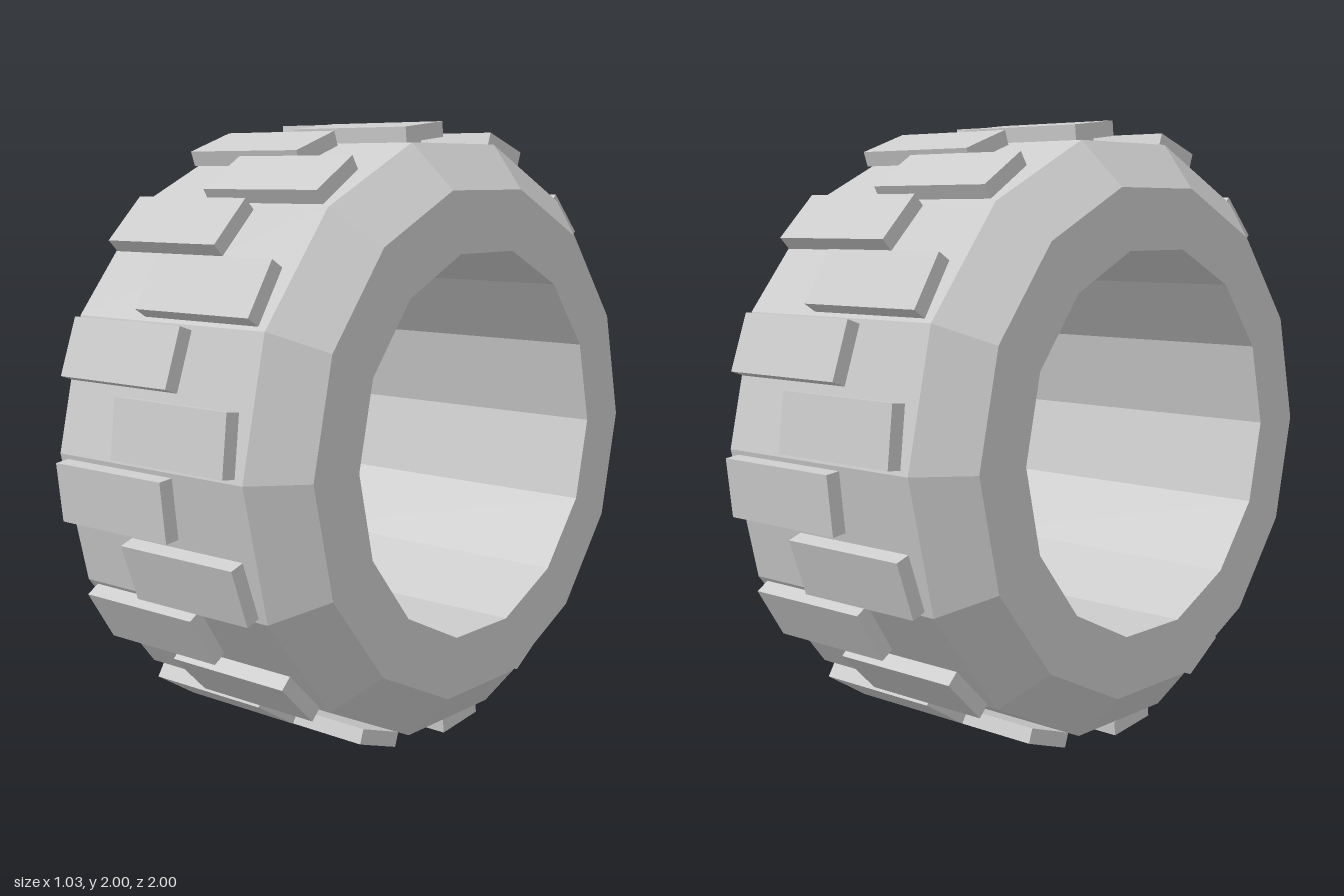
import * as THREE from 'three';

const SIDES = 14;
const BLOCKS = 28;

export function createModel() {
  const model = new THREE.Group();
  model.name = 'tire';
  const material = new THREE.MeshStandardMaterial({ color: 0xcccccc, flatShading: true });

  // Tire body: closed section (radius, offset along the axle) turned about the axle
  const section = [
    [0.615, -0.515], [0.81, -0.515], [0.955, -0.385],
    [0.955, 0.385], [0.81, 0.515], [0.615, 0.515], [0.615, -0.515],
  ].map(([r, x]) => new THREE.Vector2(r, x));
  const body = new THREE.Mesh(new THREE.LatheGeometry(section, SIDES), material);
  body.name = 'tireBody';
  body.rotation.z = -Math.PI / 2;
  body.position.y = 1;
  model.add(body);

  // Tread blocks, staggered left and right around the rim
  const treads = new THREE.Group();
  treads.name = 'treadBlocks';
  treads.position.y = 1;
  const blockGeometry = new THREE.BoxGeometry(0.455, 0.185, 0.048);
  const radius = 0.971;
  for (let i = 0; i < BLOCKS; i++) {
    const angle = ((i + 0.5) / BLOCKS) * Math.PI * 2;
    const block = new THREE.Mesh(blockGeometry, material);
    block.name = 'treadBlock';
    block.position.set(i % 2 ? -0.125 : 0.125, Math.sin(angle) * radius, Math.cos(angle) * radius);
    block.rotation.x = -angle;
    treads.add(block);
  }
  model.add(treads);

  return model;
}
